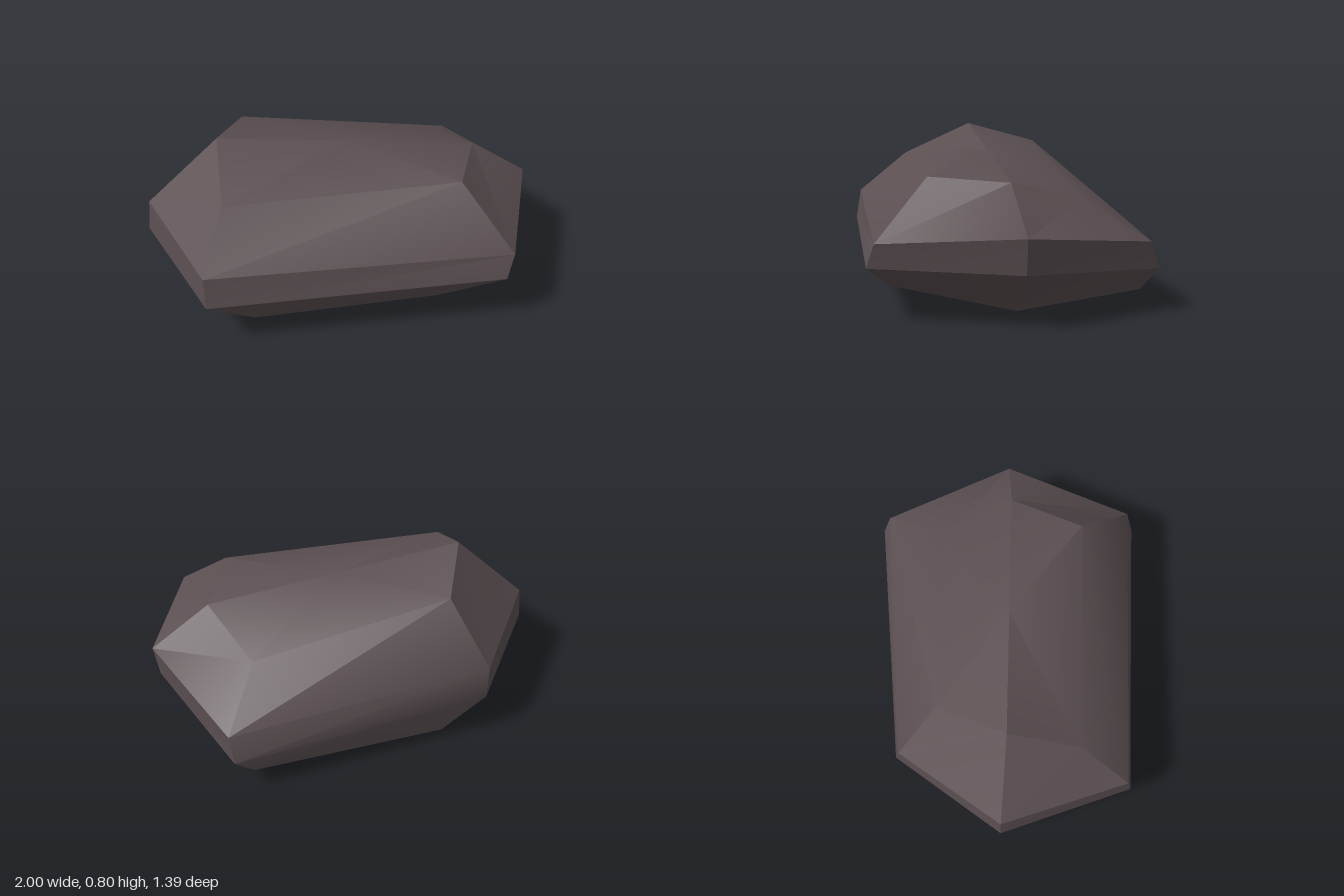
import * as THREE from 'three';
import { toCreasedNormals } from 'three/addons/utils/BufferGeometryUtils.js';

// Six-sided rings from bottom to top; corners run
// front right-hand, front left-hand, left, back left, back right, right.
const RINGS = [
  [[-0.51, 0.09, 0.585], [0.41, 0.11, 0.58], [0.6, 0.005, -0.025], [0.6, 0.09, -0.635], [-0.39, 0.05, -0.53], [-0.55, 0.02, 0.02]],
  [[-0.745, 0.255, 0.68], [0.725, 0.265, 0.695], [0.975, 0.262, 0], [0.7, 0.213, -0.695], [-0.615, 0.24, -0.54], [-1, 0.285, 0.02]],
  [[-0.75, 0.412, 0.655], [0.765, 0.385, 0.66], [1, 0.432, 0], [0.715, 0.347, -0.652], [-0.63, 0.397, -0.512], [-0.985, 0.45, 0.02]],
  [[-0.63, 0.64, 0.4], [0.55, 0.657, 0.395], [0.7, 0.64, 0.022], [0.54, 0.54, -0.355], [-0.47, 0.715, -0.31], [-0.62, 0.805, 0.037]],
];

// Middle of the ridge joining the left and right corners of a ring
function ridgeMiddle(ring) {
  return ring[2].map((v, k) => (v + ring[5][k]) / 2);
}

function boulderGeometry() {
  const positions = [];
  const triangle = (a, b, c) => positions.push(...a, ...b, ...c);
  const bottom = RINGS[0];
  const top = RINGS[RINGS.length - 1];
  const bottomMiddle = ridgeMiddle(bottom);
  const topMiddle = ridgeMiddle(top);

  for (let i = 0; i < 6; i++) {
    const j = (i + 1) % 6;
    // Side facets
    for (let r = 0; r < RINGS.length - 1; r++) {
      const low = RINGS[r];
      const high = RINGS[r + 1];
      triangle(low[i], low[j], high[j]);
      triangle(low[i], high[j], high[i]);
    }
    // Underside and crown
    triangle(bottomMiddle, bottom[j], bottom[i]);
    triangle(topMiddle, top[i], top[j]);
  }

  const geometry = new THREE.BufferGeometry();
  geometry.setAttribute('position', new THREE.Float32BufferAttribute(positions, 3));
  return toCreasedNormals(geometry, 0.6);
}

export function createModel() {
  const stone = new THREE.MeshStandardMaterial({ color: 0x5b4f52 });
  stone.name = 'dark stone';

  const boulder = new THREE.Mesh(boulderGeometry(), stone);
  boulder.name = 'boulder';

  const model = new THREE.Group();
  model.name = 'rock';
  model.add(boulder);
  return model;
}
